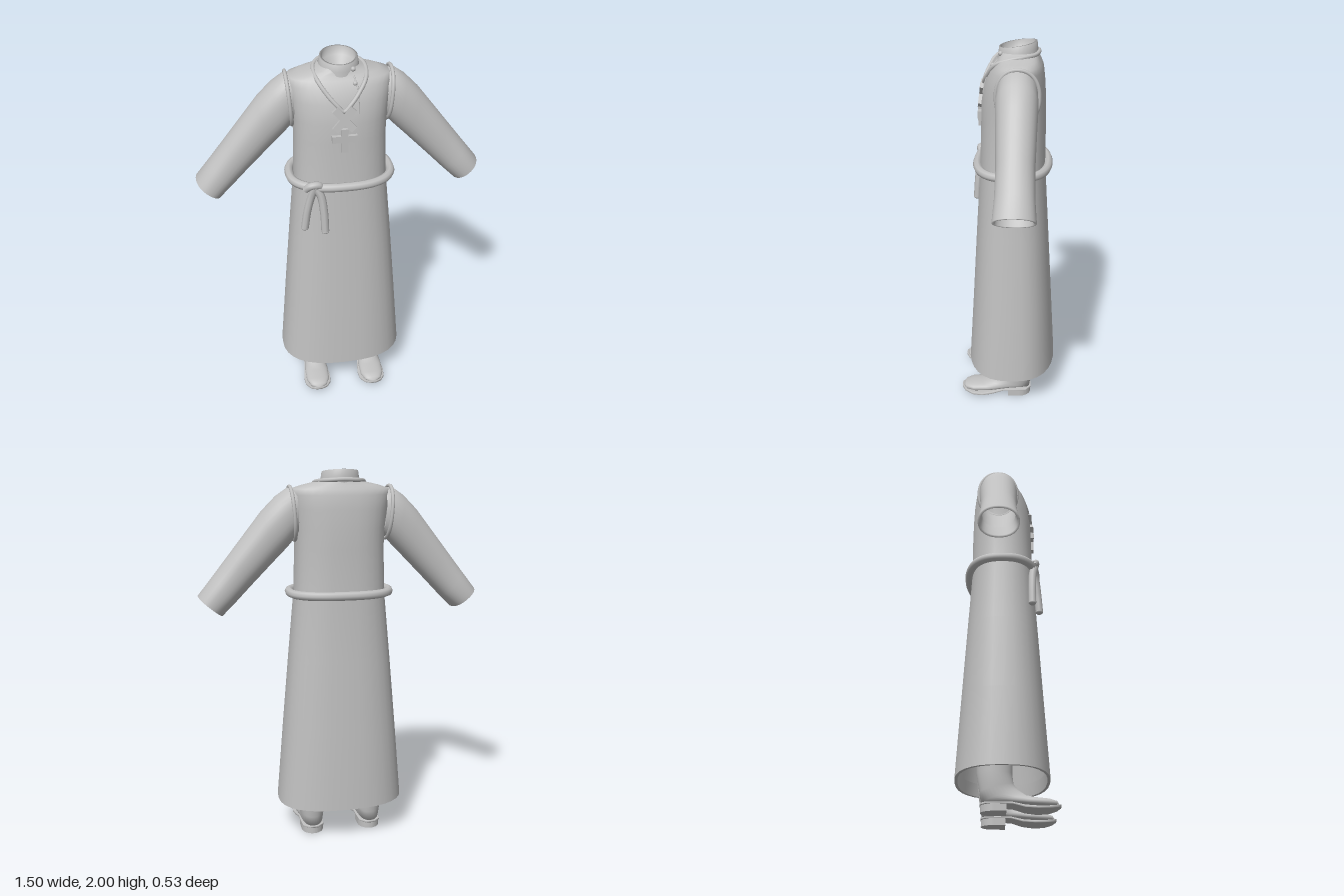
import * as THREE from 'three';

const V = (x, y, z) => new THREE.Vector3(x, y, z);
const SEG = 32;

// Robe cross-sections: height, half width, front z, back z
const ROBE = [
  [0.19, 0.348, 0.226, -0.26], [0.6, 0.313, 0.2, -0.236], [1.0, 0.277, 0.176, -0.212],
  [1.36, 0.243, 0.153, -0.19], [1.6, 0.236, 0.145, -0.19], [1.7, 0.24, 0.142, -0.188],
  [1.8, 0.252, 0.125, -0.183], [1.87, 0.26, 0.095, -0.175], [1.9, 0.255, 0.07, -0.163],
  [1.918, 0.2, 0.056, -0.152], [1.935, 0.125, 0.05, -0.146], [1.95, 0.1, 0.045, -0.138],
];
const N = 2.5; // roundness of the robe sections

// Horizontal rounded section; tilt lifts the back
function section([y, a, front, back], n = N, tilt = 0) {
  const cz = (front + back) / 2, h = (front - back) / 2, ring = [];
  for (let j = 0; j < SEG; j++) {
    const t = (j / SEG) * Math.PI * 2, c = Math.cos(t), s = Math.sin(t);
    ring.push(V(a * Math.sign(c) * Math.abs(c) ** (2 / n), y - tilt * s,
      cz + h * Math.sign(s) * Math.abs(s) ** (2 / n)));
  }
  return ring;
}

// Ring spanning two opposite points, with a half width vector
function span(A, B, W, n = 2) {
  const mid = A.clone().add(B).multiplyScalar(0.5), u = A.clone().sub(mid), ring = [];
  for (let j = 0; j < SEG; j++) {
    const t = (j / SEG) * Math.PI * 2, c = Math.cos(t), s = Math.sin(t);
    ring.push(mid.clone().addScaledVector(u, Math.sign(c) * Math.abs(c) ** (2 / n))
      .addScaledVector(W, Math.sign(s) * Math.abs(s) ** (2 / n)));
  }
  return ring;
}

const collapse = (ring, p) => ring.map(() => p.clone());

// Skin through closed rings
function loft(rings) {
  const pos = rings.flat().flatMap((p) => [p.x, p.y, p.z]), idx = [];
  for (let i = 0; i < rings.length - 1; i++) {
    for (let j = 0; j < SEG; j++) {
      const k = (j + 1) % SEG, a = i * SEG + j, b = i * SEG + k;
      idx.push(a, a + SEG, b, b, a + SEG, b + SEG);
    }
  }
  const g = new THREE.BufferGeometry();
  g.setAttribute('position', new THREE.Float32BufferAttribute(pos, 3));
  g.setIndex(idx);
  g.computeVertexNormals();
  return g;
}

const tube = (pts, r, closed = false, segs = 48) => new THREE.TubeGeometry(
  new THREE.CatmullRomCurve3(pts, closed, 'centripetal'), segs, r, 8, closed);

// Depth of the robe front at a given x and y
function frontZ(x, y) {
  let i = 0;
  while (i < ROBE.length - 2 && ROBE[i + 1][0] < y) i++;
  const p = ROBE[i], q = ROBE[i + 1], f = (y - p[0]) / (q[0] - p[0]);
  const [a, zf, zb] = [1, 2, 3].map((k) => p[k] + (q[k] - p[k]) * f);
  const s = Math.max(0, 1 - Math.min(1, Math.abs(x) / a) ** N) ** (1 / N);
  return (zf + zb) / 2 + ((zf - zb) / 2) * s;
}

export function createModel() {
  const model = new THREE.Group();
  model.name = 'robeAndBoots';
  const cloth = new THREE.MeshStandardMaterial({ color: 0xc0c0c0, side: THREE.DoubleSide });
  cloth.name = 'grey';
  const add = (name, geo, parent = model) => {
    const m = new THREE.Mesh(geo, cloth);
    m.name = name;
    parent.add(m);
    return m;
  };

  // Robe body and the folded hem
  add('robe', loft(ROBE.map((r) => section(r))));
  add('hem', loft([[0.26, 0.327, 0.207, -0.241], [0.19, 0.333, 0.211, -0.245]]
    .map((r) => section(r))));
  add('hemEdge', loft([section([0.19, 0.333, 0.211, -0.245]), section(ROBE[0])]));

  // Standing collar with its inner wall
  const collar = [[1.915, 0.108, 0.062, -0.148], [1.95, 0.1, 0.056, -0.144],
    [1.985, 0.094, 0.052, -0.14], [1.985, 0.083, 0.041, -0.129], [1.94, 0.085, 0.041, -0.129]]
    .map((r) => section(r, 2, 0.014));
  collar.push(collapse(collar[0], V(0, 1.88, -0.03)));
  add('collar', loft(collar));

  // Piping around the neck, down to a point in front
  const on = (x, y, lift = 0.003) => V(x, y, frontZ(x, y) + lift);
  const half = [V(0.075, 1.944, -0.132), V(0.118, 1.938, -0.075), V(0.129, 1.928, -0.01),
    on(0.115, 1.9), on(0.075, 1.845), on(0.035, 1.8)];
  const mirrored = half.map((p) => V(-p.x, p.y, p.z)).reverse();
  add('neckPiping', tube([V(0, 1.948, -0.15), ...half, on(0, 1.768), ...mirrored], 0.011, true, 80));

  // Front fastening: edge of the opening and buttons
  add('placket', tube([on(0.06, 1.915, 0), on(0.072, 1.87, 0), on(0.074, 1.81, 0), on(0.074, 1.75, 0)], 0.004));
  [[0.058, 1.945, 0.04], [0.062, 1.888, frontZ(0.062, 1.888)]].forEach(([x, y, z]) => {
    const b = add('button', new THREE.SphereGeometry(0.012, 12, 8));
    b.position.set(x, y, z + 0.002);
  });

  // Crossed trims on the chest
  const trims = new THREE.Group();
  trims.name = 'chestTrims';
  model.add(trims);
  const bar = (y, len, angle) => {
    const m = add('trimBar', new THREE.BoxGeometry(0.036, len, 0.022), trims);
    m.position.set(0, y, frontZ(0, y) + 0.006);
    m.rotation.set(y > 1.68 ? -0.12 : 0, 0, angle, 'XYZ');
  };
  bar(1.73, 0.142, 0.72);
  bar(1.73, 0.142, -0.72);
  bar(1.622, 0.126, 0);
  bar(1.63, 0.126, Math.PI / 2);

  // Sleeves, with shoulder seams; sections give top and bottom points
  const sleeve = [
    [0.235, 1.9, 0.225, 1.67, 0.09], [0.275, 1.906, 0.245, 1.645, 0.102],
    [0.335, 1.865, 0.285, 1.6, 0.104], [0.41, 1.79, 0.345, 1.54, 0.1],
    [0.57, 1.587, 0.475, 1.408, 0.093], [0.67, 1.46, 0.56, 1.32, 0.096],
    [0.748, 1.362, 0.624, 1.258, 0.104], [0.74, 1.354, 0.632, 1.266, 0.092],
    [0.64, 1.46, 0.56, 1.36, 0.084],
  ].map(([ax, ay, bx, by, w]) => span(V(ax, ay, -0.045), V(bx, by, -0.045), V(0, 0, -w), 2.2));
  const seam = span(V(0.264, 1.911, -0.048), V(0.242, 1.64, -0.048), V(0, 0, -0.106), 2.2);

  // Boot sections: front z and y, back z and y, half width
  const boot = [
    [0.035, 0.46, -0.155, 0.46, 0.078], [0.03, 0.19, -0.145, 0.19, 0.073],
    [0.036, 0.14, -0.13, 0.1, 0.066], [0.058, 0.112, -0.122, 0.045, 0.062],
    [0.1, 0.084, -0.03, 0.038, 0.06], [0.15, 0.074, 0.08, 0.025, 0.068],
    [0.21, 0.068, 0.18, 0.018, 0.066], [0.245, 0.058, 0.235, 0.022, 0.046],
    [0.256, 0.042, 0.256, 0.028, 0.015],
  ].map(([az, ay, bz, by, w]) => span(V(0, ay, az), V(0, by, bz), V(w, 0, 0), 2.2));

  // Sole sections: z, top, bottom, half width
  const sole = [
    [-0.128, 0.046, 0.034, 0.025], [-0.1, 0.046, 0.034, 0.058], [-0.03, 0.046, 0.034, 0.063],
    [0.03, 0.044, 0.032, 0.063], [0.09, 0.03, 0.014, 0.07], [0.15, 0.024, 0.008, 0.079],
    [0.205, 0.026, 0.01, 0.073], [0.245, 0.034, 0.018, 0.05], [0.265, 0.042, 0.028, 0.02],
  ].map(([z, t, b, w]) => span(V(0, t, z), V(0, b, z), V(w, 0, 0), 6));
  sole.unshift(collapse(sole[0], V(0, 0.04, -0.128)));
  sole.push(collapse(sole[0], V(0, 0.035, 0.266)));

  // Heel block, rounded behind
  const heelShape = new THREE.Shape();
  heelShape.moveTo(0.06, 0);
  heelShape.lineTo(0.06, 0.06);
  heelShape.absellipse(0, 0.06, 0.06, 0.066, 0, Math.PI, false);
  heelShape.lineTo(-0.06, 0);
  const heel = new THREE.ExtrudeGeometry(heelShape, { depth: 0.038, bevelEnabled: false, curveSegments: 12 });
  heel.rotateX(-Math.PI / 2);

  for (const side of [1, -1]) {
    const name = side > 0 ? 'left' : 'right';
    const arm = new THREE.Group();
    arm.name = name + 'Arm';
    arm.scale.x = side;
    add(name + 'Sleeve', loft(sleeve), arm);
    add(name + 'ShoulderSeam', tube(seam, 0.01, true, 64), arm);
    const foot = new THREE.Group();
    foot.name = name + 'Boot';
    foot.scale.x = side;
    foot.position.x = side * 0.163;
    add(name + 'BootUpper', loft([...boot, collapse(boot[0], V(0, 0.035, 0.258))]), foot);
    add(name + 'Sole', loft(sole), foot);
    add(name + 'Heel', heel, foot);
    model.add(arm, foot);
  }

  // Rope belt with a knot and two hanging ends
  const rope = new THREE.Group();
  rope.name = 'ropeBelt';
  model.add(rope);
  add('beltLoop', tube(section([1.362, 0.266, 0.168, -0.206]), 0.023, true, 96), rope);
  const kx = -0.155, kz = frontZ(kx, 1.36);
  add('knot', tube([V(kx - 0.045, 1.355, kz + 0.02), V(kx - 0.02, 1.38, kz + 0.035),
    V(kx + 0.02, 1.382, kz + 0.035), V(kx + 0.045, 1.35, kz + 0.02)], 0.019), rope);
  const ends = [
    [[-0.145, 1.385], [-0.17, 1.31], [-0.192, 1.22], [-0.208, 1.115]],
    [[-0.165, 1.385], [-0.125, 1.32], [-0.11, 1.22], [-0.106, 1.11]],
  ];
  ends.forEach((pts) => {
    const path = pts.map(([x, y], i) => V(x, y, frontZ(x, y) + (i === 0 ? 0.03 : 0.02)));
    add('ropeEnd', tube(path, 0.021), rope);
    const tip = add('ropeTip', new THREE.SphereGeometry(0.021, 12, 8), rope);
    tip.position.copy(path[3]);
    tip.scale.y = 0.6;
  });

  return model;
}
